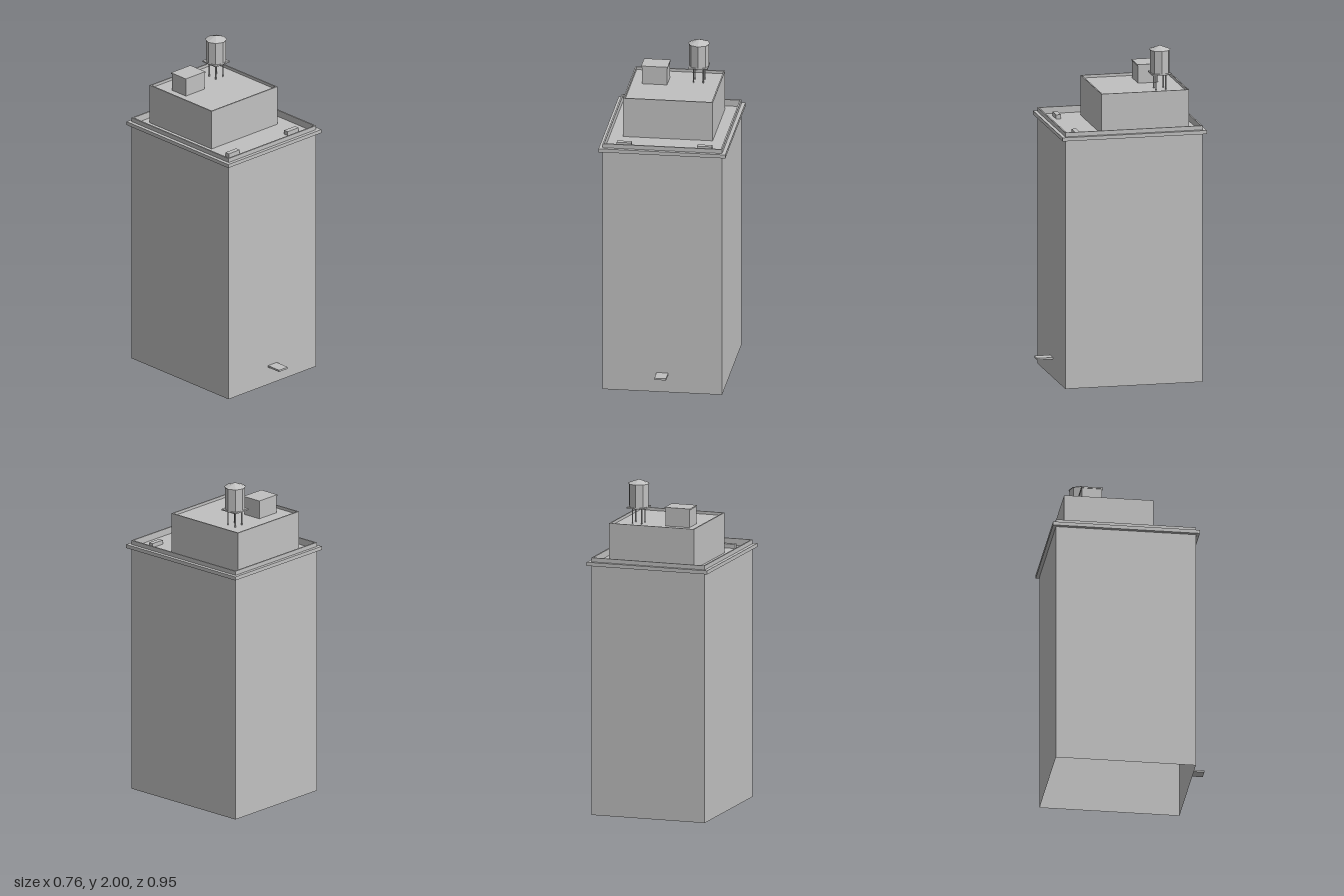
import * as THREE from 'three';

export function createModel() {
  const model = new THREE.Group();
  model.name = 'towerBlock';
  const stone = new THREE.MeshStandardMaterial({ color: 0xc0c0c0, side: THREE.DoubleSide, flatShading: true });
  stone.name = 'stone grey';

  function add(name, geometry, x = 0, y = 0, z = 0, parent = model) {
    const mesh = new THREE.Mesh(geometry, stone);
    mesh.name = name;
    mesh.position.set(x, y, z);
    parent.add(mesh);
    return mesh;
  }

  // Box given by its extents
  function block(name, x0, x1, y0, y1, z0, z1, parent) {
    const g = new THREE.BoxGeometry(x1 - x0, y1 - y0, z1 - z0);
    return add(name, g, (x0 + x1) / 2, (y0 + y1) / 2, (z0 + z1) / 2, parent);
  }

  // Remove the underside of a box (fourth face of six)
  function openBottom(mesh) {
    const index = Array.from(mesh.geometry.index.array);
    index.splice(18, 6);
    mesh.geometry.setIndex(index);
    mesh.geometry.clearGroups();
  }

  // Rectangular ring with a wall of thickness t
  function ring(name, hx, z0, z1, y0, y1, t) {
    const rect = (Type, a, b, c) => new Type([
      new THREE.Vector2(-a, -c), new THREE.Vector2(a, -c),
      new THREE.Vector2(a, -b), new THREE.Vector2(-a, -b),
    ]);
    const shape = rect(THREE.Shape, hx, z0, z1);
    shape.holes.push(rect(THREE.Path, hx - t, z0 + t, z1 - t));
    const g = new THREE.ExtrudeGeometry(shape, { depth: y1 - y0, bevelEnabled: false });
    g.rotateX(-Math.PI / 2);
    return add(name, g, 0, y0, 0);
  }

  // Main shaft, open underneath, with cornice and parapet
  openBottom(block('towerBody', -0.356, 0.356, 0, 1.51, -0.455, 0.379));
  ring('cornice', 0.378, -0.475, 0.4, 1.503, 1.525, 0.0225);
  ring('parapet', 0.356, -0.455, 0.379, 1.51, 1.55, 0.009);

  // Set-back upper storey with its own parapet
  openBottom(block('penthouse', -0.267, 0.267, 1.51, 1.735, -0.394, 0.139));
  ring('penthouseParapet', 0.267, -0.394, 0.139, 1.735, 1.752, 0.008);

  // Stair bulkhead with a thin overhanging lid
  block('bulkhead', -0.196, -0.046, 1.735, 1.84, -0.278, -0.158);
  block('bulkheadLid', -0.2, -0.042, 1.84, 1.848, -0.282, -0.154);

  // Roof vents and entrance canopy
  for (const s of [-1, 1]) {
    const c = s * 0.239;
    block(s < 0 ? 'rightVent' : 'leftVent', c - 0.044, c + 0.044, 1.51, 1.535, 0.274, 0.304);
  }
  block('entranceCanopy', -0.035, 0.035, 0.11, 0.121, 0.379, 0.474);

  // Water tank on four legs
  const tank = new THREE.Group();
  tank.name = 'waterTank';
  tank.position.set(0.133, 0, -0.247);
  model.add(tank);
  for (const x of [-0.029, 0.029]) {
    for (const z of [-0.029, 0.029]) {
      add('tankLeg', new THREE.CylinderGeometry(0.004, 0.004, 0.095, 6), x, 1.7825, z, tank);
    }
  }
  block('tankPlatform', -0.057, 0.057, 1.828, 1.836, -0.057, 0.057, tank);
  add('tankBarrel', new THREE.CylinderGeometry(0.06, 0.06, 0.139, 8), 0, 1.9055, 0, tank);
  add('tankRoof', new THREE.ConeGeometry(0.066, 0.025, 8), 0, 1.9875, 0, tank);

  return model;
}
